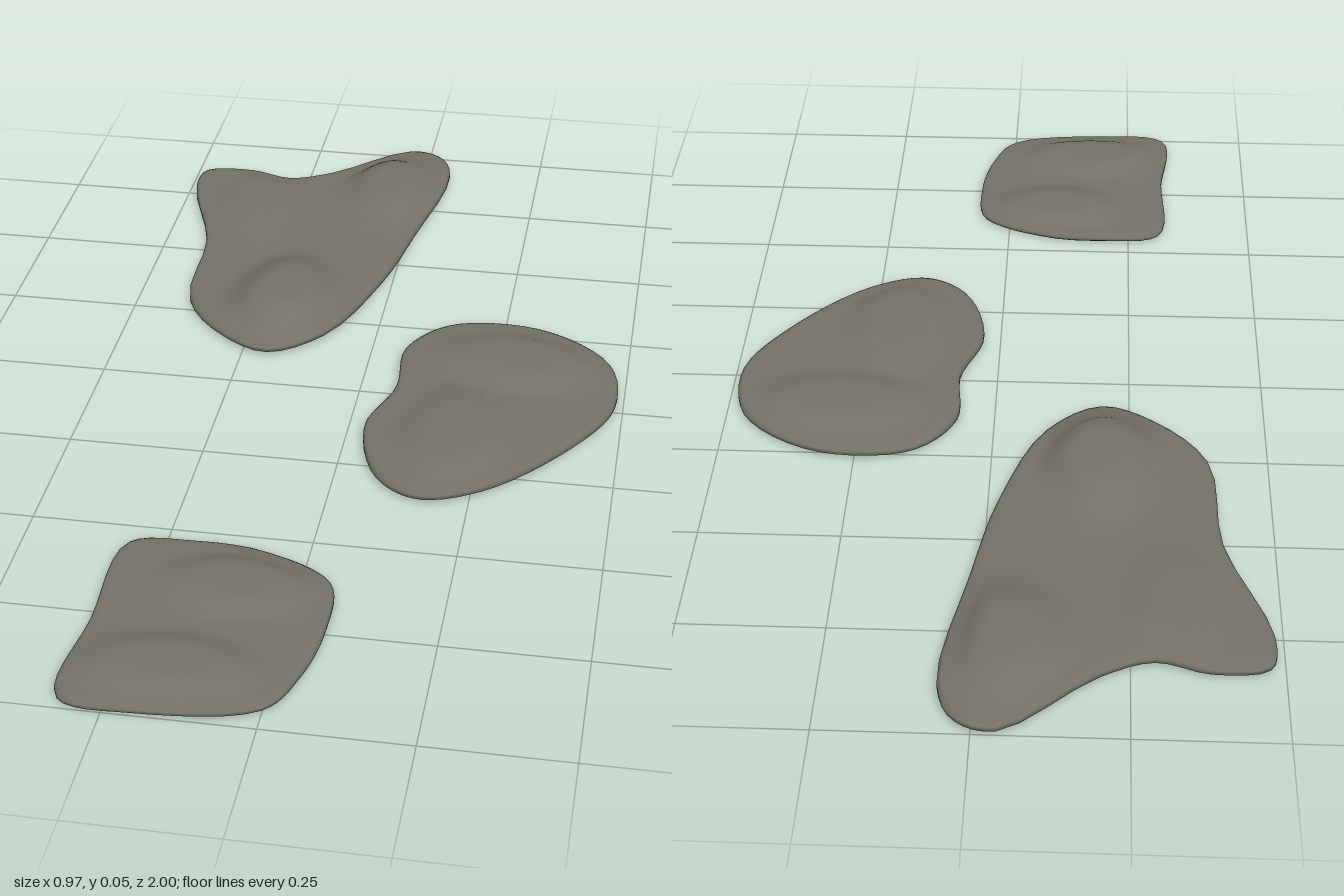
import * as THREE from 'three';

const smooth = THREE.MathUtils.smoothstep;

// Outlines are [x, z] control points running from +x towards +z.
// Bumps are [x, z, flat radius x, flat radius z, height].
const stones = [
  {
    name: 'longSteppingStone', centre: [-0.2, -0.55], base: 0.004, rim: 0.02,
    outline: [[0.02, -0.62], [-0.02, -0.4], [-0.1, -0.18], [-0.2, -0.1], [-0.3, -0.15], [-0.39, -0.27],
      [-0.41, -0.52], [-0.485, -0.76], [-0.475, -0.836], [-0.38, -0.85], [-0.29, -0.825], [-0.2, -0.865],
      [-0.04, -1], [0.025, -0.98], [0.058, -0.9]],
    bumps: [[-0.2, -0.27, 0.06, 0.11, 0.034], [-0.05, -0.8, 0.06, 0.09, 0.026], [-0.33, -0.7, 0.05, 0.1, 0.011]],
  },
  {
    name: 'roundSteppingStone', centre: [0.25, 0.02], base: 0.004, rim: 0.02,
    outline: [[0.485, 0], [0.41, 0.155], [0.27, 0.31], [0.16, 0.352], [0.08, 0.3], [0.032, 0.14],
      [0.07, 0], [0.07, -0.15], [0.15, -0.25], [0.32, -0.258], [0.46, -0.155]],
    bumps: [[0.2, 0.16, 0.06, 0.1, 0.017], [0.29, -0.12, 0.1, 0.06, 0.017]],
  },
  {
    name: 'squareSteppingStone', centre: [-0.14, 0.77], base: 0, rim: 0.014,
    outline: [[0.065, 0.74], [0.045, 0.87], [0, 0.96], [-0.2, 0.998], [-0.325, 0.982], [-0.322, 0.78],
      [-0.31, 0.56], [-0.2, 0.54], [-0.08, 0.55], [0.05, 0.62]],
    bumps: [[-0.17, 0.89, 0.09, 0.05, 0.016], [-0.1, 0.66, 0.08, 0.05, 0.016]],
  },
];

// Concentric rings from the underside, round the rim and over the domed top
function stoneGeometry({ centre, base, rim, outline, bumps }) {
  const [cx, cz] = centre, n = 60;
  const curve = new THREE.CatmullRomCurve3(outline.map(([x, z]) => new THREE.Vector3(x, 0, z)), true);
  const loop = curve.getPoints(n).slice(0, n);
  const topHeight = (x, z, scale) => {
    let rise = 0;
    for (const [bx, bz, rx, rz, h] of bumps) {
      const d = Math.hypot((x - bx) / rx, (z - bz) / rz);
      rise = Math.max(rise, h * (1 - smooth(d, 0.8, 2.1)));
    }
    return rim + rise * smooth(1 - scale, 0.03, 0.25);
  };
  const rings = [[0, base], [0.5, base], [0.975, base], [1, base + 0.004], [1, rim - 0.004], [0.975, rim]];
  for (let i = 1; i <= 14; i++) rings.push([0.975 * (1 - i / 14), null]);

  const positions = [], indices = [];
  for (const [scale, y] of rings) {
    for (const p of loop) {
      const x = cx + (p.x - cx) * scale, z = cz + (p.z - cz) * scale;
      positions.push(x, y ?? topHeight(x, z, scale), z);
    }
  }
  const last = rings.length - 1;
  for (let r = 0; r < last; r++) {
    for (let j = 0; j < n; j++) {
      const a = r * n + j, b = r * n + (j + 1) % n;
      if (r > 0) indices.push(a, a + n, b);
      if (r < last - 1) indices.push(b, a + n, b + n);
    }
  }
  const geometry = new THREE.BufferGeometry();
  geometry.setAttribute('position', new THREE.Float32BufferAttribute(positions, 3));
  geometry.setIndex(indices);
  geometry.computeVertexNormals();
  // The pole vertices share one upright normal
  const normals = geometry.attributes.normal;
  for (let j = 0; j < n; j++) {
    normals.setXYZ(j, 0, -1, 0);
    normals.setXYZ(last * n + j, 0, 1, 0);
  }
  return geometry;
}

export function createModel() {
  const group = new THREE.Group();
  group.name = 'steppingStones';
  const stone = new THREE.MeshStandardMaterial({ color: 0x737168 });
  for (const spec of stones) {
    const mesh = new THREE.Mesh(stoneGeometry(spec), stone);
    mesh.name = spec.name;
    group.add(mesh);
  }
  return group;
}
